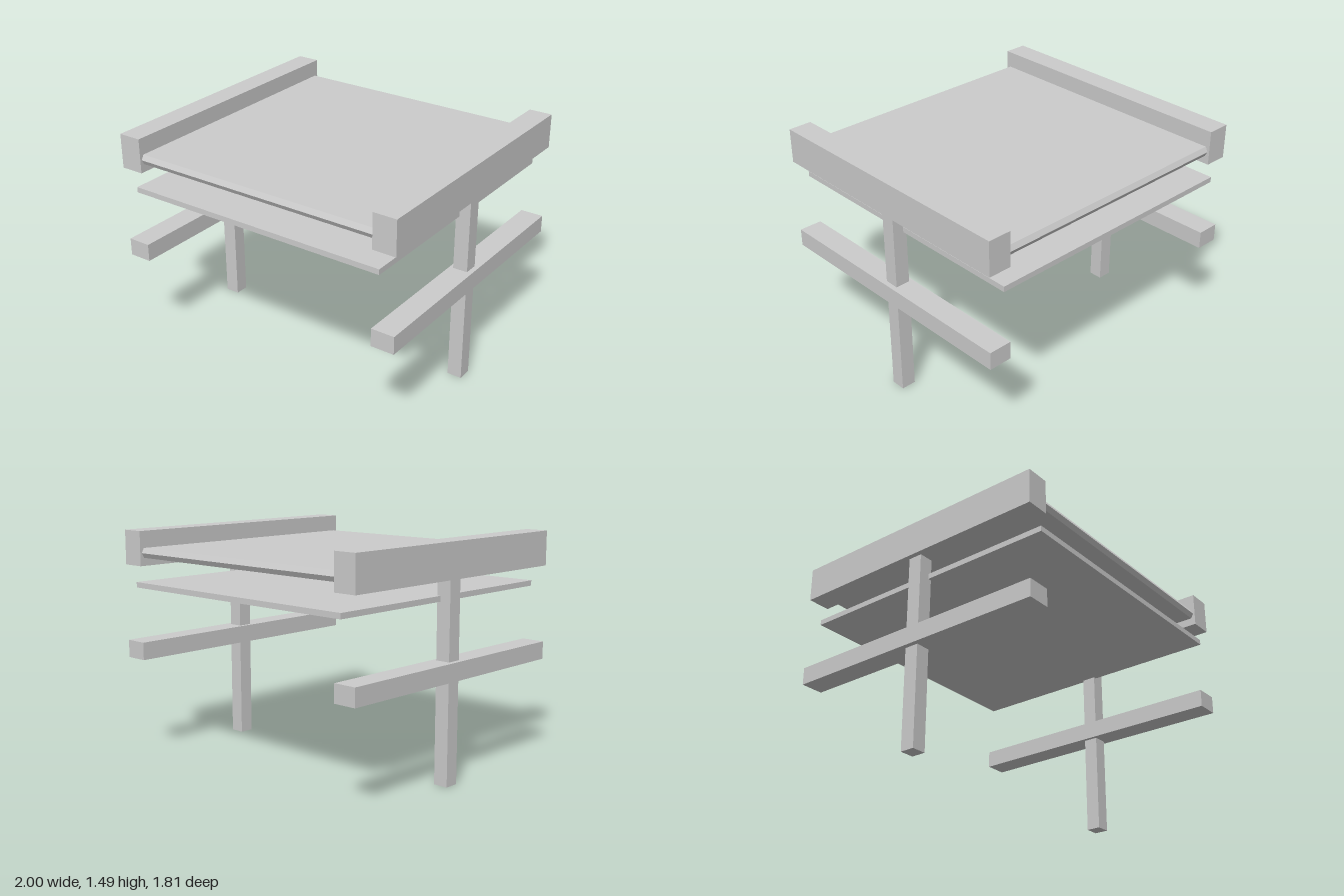
import * as THREE from 'three';

export function createModel() {
  const group = new THREE.Group();
  const material = new THREE.MeshStandardMaterial({ color: 0xcccccc, flatShading: true });

  function add(name, geometry, x, y, z) {
    const mesh = new THREE.Mesh(geometry, material);
    mesh.name = name;
    mesh.position.set(x, y, z);
    group.add(mesh);
    return mesh;
  }

  // Box given by its centre x, bottom and top heights, width and depth
  function bar(name, x, bottom, top, width, depth) {
    add(name, new THREE.BoxGeometry(width, top - bottom, depth), x, (bottom + top) / 2, 0);
  }

  // Post, lower rail and upper beam on each side
  for (const [side, s] of [['left', 1], ['right', -1]]) {
    bar(side + 'Post', s * 0.92, 0, 1.265, 0.096, 0.094);
    bar(side + 'LowerRail', s * 0.9235, 0.655, 0.77, 0.153, 1.81);
    bar(side + 'UpperBeam', s * 0.9235, 1.265, 1.489, 0.153, 1.81);
  }

  // Thin shelf under the top
  bar('shelf', 0, 1.125, 1.16, 1.79, 1.81);

  // Top panel with pointed front and back edges, extruded between the beams
  const profile = new THREE.Shape([
    [-0.893, 0], [-0.876, -0.031], [0.876, -0.031],
    [0.893, 0], [0.876, 0.032], [-0.876, 0.032],
  ].map(([z, y]) => new THREE.Vector2(z, y)));
  const width = 1.7;
  const panel = new THREE.ExtrudeGeometry(profile, { depth: width, bevelEnabled: false });
  panel.translate(0, 0, -width / 2);
  panel.rotateY(Math.PI / 2);
  add('topPanel', panel, 0, 1.348, 0);

  return group;
}
